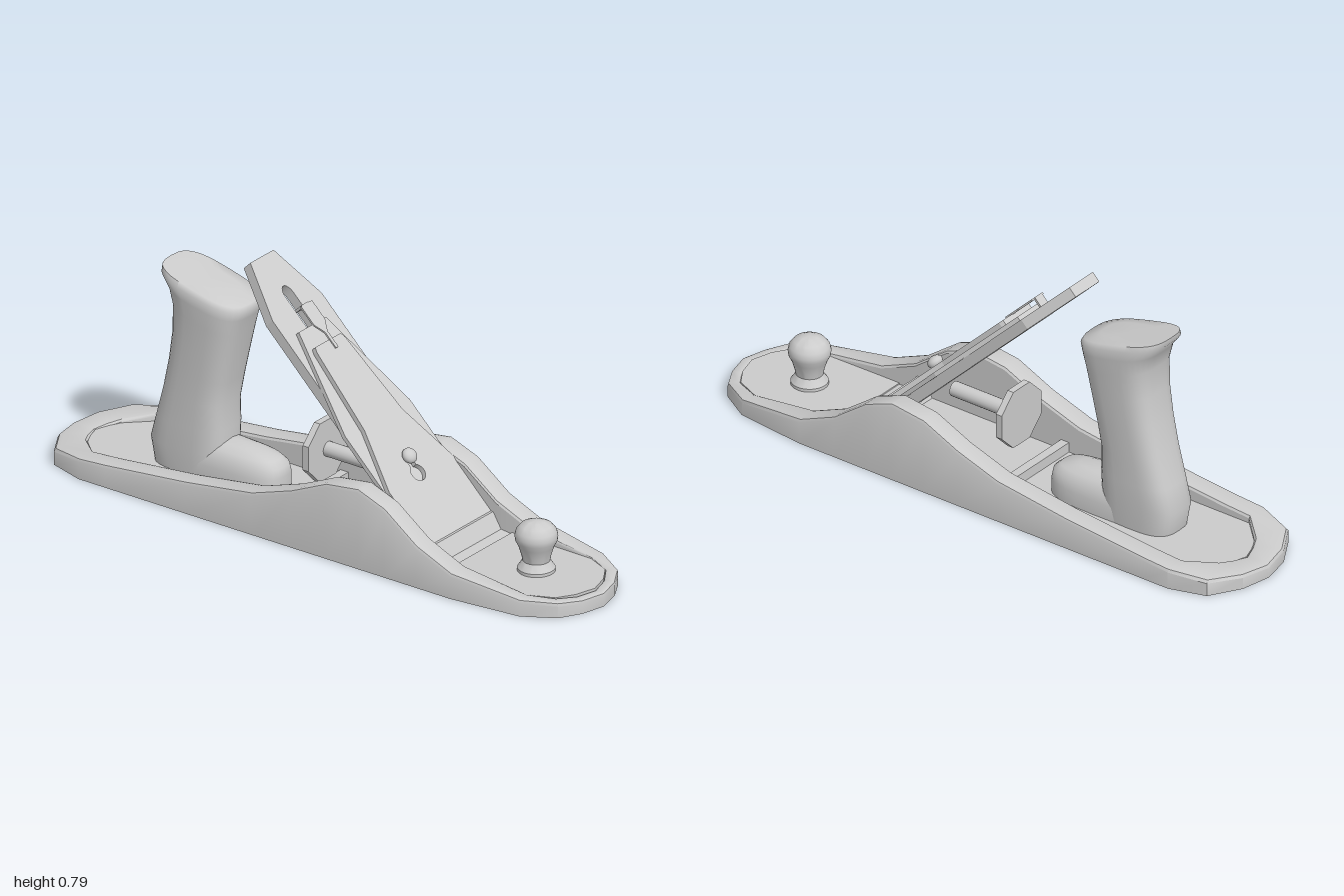
import * as THREE from 'three';
import { toCreasedNormals } from 'three/addons/utils/BufferGeometryUtils.js';

const material = new THREE.MeshStandardMaterial({ color: 0xcccccc, side: THREE.DoubleSide });

function addMesh(parent, name, geometry, x = 0, y = 0, z = 0) {
  const mesh = new THREE.Mesh(geometry, material);
  mesh.name = name;
  mesh.position.set(x, y, z);
  parent.add(mesh);
  return mesh;
}

// Skin a list of equal-length rings; either direction may wrap round.
function loft(rings, wrapRings, wrapSection, crease) {
  const n = rings.length, m = rings[0].length, index = [];
  for (let i = 0; i < (wrapRings ? n : n - 1); i++) {
    for (let j = 0; j < (wrapSection ? m : m - 1); j++) {
      const i2 = (i + 1) % n, j2 = (j + 1) % m;
      const a = i * m + j, b = i2 * m + j, c = i2 * m + j2, d = i * m + j2;
      index.push(a, b, c, a, c, d);
    }
  }
  const g = new THREE.BufferGeometry();
  g.setAttribute('position', new THREE.Float32BufferAttribute(rings.flat(2), 3));
  g.setIndex(index);
  g.computeVertexNormals();
  return toCreasedNormals(g, crease);
}

// Half of the body, front to back: outer x, z, inner x, z, wall height.
const stations = [
  [0, 1, 0, 0.965, 0.045], [0.08, 0.98, 0.07, 0.945, 0.045],
  [0.15, 0.94, 0.125, 0.91, 0.05], [0.21, 0.84, 0.16, 0.83, 0.055],
  ...[[0.6, 0.085], [0.47, 0.14], [0.35, 0.228], [0.25, 0.265], [0.13, 0.249], [0, 0.19],
    [-0.15, 0.14], [-0.4, 0.105], [-0.7, 0.075], [-0.8, 0.068]].map(([z, h]) => [0.237, z, 0.163, z, h]),
  [0.2, -0.92, 0.085, -0.88, 0.055], [0.1, -0.98, 0.045, -0.9, 0.05], [0, -1, 0, -0.915, 0.045],
];
const loop = [...stations, ...stations.slice(1, -1).reverse().map(([a, b, c, d, h]) => [-a, b, -c, d, h])];

// Wall running round the sole, with bevelled top edges.
function wallGeometry() {
  const rings = loop.map(([ox, oz, ix, iz, h]) => {
    const at = (t, y) => [ox + (ix - ox) * t, y, oz + (iz - oz) * t];
    return [at(0, 0), at(0, h - 0.012), at(0.06, h - 0.003), at(0.2, h),
      at(0.8, h), at(0.94, h - 0.003), at(1, h - 0.01), at(1, 0.02)];
  });
  return loft(rings, true, false, 0.55);
}

// Flat floor piece from a plan outline of [x, z].
function floorGeometry(points, hole, y0, y1) {
  const shape = new THREE.Shape(points.map(([x, z]) => new THREE.Vector2(x, -z)));
  shape.holes.push(hole);
  const g = new THREE.ExtrudeGeometry(shape, { depth: y1 - y0, bevelEnabled: false, curveSegments: 20 });
  return g.rotateX(-Math.PI / 2).translate(0, y0, 0);
}

// Rounded-rectangle ring between a front and a back point.
function roundedRing([zF, yF, zB, yB, w]) {
  const ring = [];
  for (let k = 0; k < 32; k++) {
    const a = (k / 32) * Math.PI * 2;
    const bend = v => Math.sign(v) * Math.pow(Math.abs(v), 0.65);
    const u = bend(Math.sin(a));
    const t = (1 - u) / 2;
    ring.push([w * bend(Math.cos(a)), yF + (yB - yF) * t, zF + (zB - zF) * t]);
  }
  return ring;
}
const roundedLoft = rows => loft(rows.map(roundedRing), false, true, 1);

export function createModel() {
  const model = new THREE.Group();
  model.name = 'handPlane';

  // Body
  addMesh(model, 'bodyWall', wallGeometry());
  const inner = loop.map(s => [s[2], s[3]]);
  const knobHole = new THREE.Path().absarc(0, -0.745, 0.055, 0, Math.PI * 2, true);
  const front = inner.filter(p => p[1] > 0.55);
  const split = front.findIndex(p => p[0] < 0);
  front.splice(split, 0, [0.163, 0.53], [-0.163, 0.53]);
  addMesh(model, 'frontFloor', floorGeometry(front, knobHole, 0.02, 0.05));
  const gripHole = new THREE.Path();
  gripHole.absarc(0, 0.285, 0.07, Math.PI, Math.PI * 2, false);
  gripHole.absarc(0, 0.585, 0.07, 0, Math.PI, false);
  const rear = inner.filter(p => p[1] < 0.4);
  rear.unshift([0.163, 0.46]);
  rear.push([-0.163, 0.46]);
  addMesh(model, 'rearFloor', floorGeometry(rear, gripHole, 0.02, 0.042));
  addMesh(model, 'crossRib', new THREE.BoxGeometry(0.326, 0.06, 0.03), 0, 0.045, -0.1);

  // Ramp closing the mouth in front of the blade: profile as [z, y]
  const ramp = new THREE.Shape([[0.4, 0.03], [0.535, 0.03], [0.535, 0.045], [0.49, 0.05], [0.46, 0.1], [0.43, 0.1]]
    .map(([z, y]) => new THREE.Vector2(-z, y)));
  addMesh(model, 'mouthRamp', new THREE.ExtrudeGeometry(ramp, { depth: 0.324, bevelEnabled: false })
    .translate(0, 0, -0.162).rotateY(Math.PI / 2));

  // Front knob
  const knob = [[0, 0.046], [0.058, 0.046], [0.058, 0.06], [0.053, 0.066], [0.042, 0.084], [0.045, 0.1], [0.054, 0.13],
    [0.064, 0.15], [0.066, 0.165], [0.062, 0.182], [0.048, 0.199], [0.025, 0.21], [0, 0.213]];
  addMesh(model, 'frontKnob', toCreasedNormals(
    new THREE.LatheGeometry(knob.map(p => new THREE.Vector2(...p)), 32), 0.6), 0, 0, 0.745);

  // Rear handle: front z, y, back z, y, half width, from the bottom up
  addMesh(model, 'handleGrip', roundedLoft([
    [-0.53, 0.041, -0.53, 0.041, 0],
    [-0.4, 0.041, -0.66, 0.041, 0.085], [-0.4, 0.12, -0.674, 0.12, 0.09],
    [-0.397, 0.2, -0.652, 0.2, 0.09], [-0.4, 0.28, -0.624, 0.3, 0.09],
    [-0.385, 0.36, -0.602, 0.4, 0.092], [-0.37, 0.43, -0.587, 0.5, 0.095],
    [-0.347, 0.53, -0.585, 0.59, 0.099], [-0.332, 0.585, -0.6, 0.645, 0.103],
    [-0.323, 0.613, -0.63, 0.685, 0.103], [-0.33, 0.628, -0.63, 0.703, 0.094],
    [-0.38, 0.648, -0.57, 0.69, 0.055], [-0.48, 0.668, -0.48, 0.668, 0],
  ]));
  addMesh(model, 'handleFoot', roundedLoft([
    [-0.4, 0.041, -0.4, 0.041, 0],
    [-0.2, 0.041, -0.6, 0.041, 0.085], [-0.2, 0.09, -0.6, 0.09, 0.085],
    [-0.204, 0.12, -0.59, 0.125, 0.075], [-0.225, 0.138, -0.58, 0.15, 0.06],
    [-0.29, 0.155, -0.56, 0.165, 0.035], [-0.4, 0.165, -0.4, 0.165, 0],
  ]));

  // Blade assembly, lying on a slope
  const slope = 44.4 * Math.PI / 180, sin = Math.sin(slope), cos = Math.cos(slope);
  const blade = new THREE.Group();
  blade.name = 'bladeAssembly';
  blade.position.set(0.006, 0.04, 0.47);
  blade.rotation.x = slope - Math.PI / 2;
  model.add(blade);

  // Outline is given as seen from the front: [x, height].
  const slab = (name, points, bottom, top, hole) => {
    const map = ([x, y]) => new THREE.Vector2(x, (y - 0.04 - top * cos) / sin);
    const shape = new THREE.Shape(points.map(map));
    if (hole) shape.holes.push(new THREE.Path(hole.map(map)));
    const g = new THREE.ExtrudeGeometry(shape, { depth: top - bottom, bevelEnabled: false });
    return addMesh(blade, name, g, 0, 0, bottom);
  };
  const mirror = half => [...half, ...half.slice().reverse().map(([x, y]) => [-x, y])];

  const slot = [];
  for (let k = 0; k <= 16; k++) {
    const a = (k / 16) * Math.PI;
    slot.push([0.003 + 0.02 * Math.cos(a), 0.69 + 0.023 * Math.sin(a)]);
  }
  slot.push([-0.017, 0.6], [0.023, 0.6]);
  const iron = slab('cuttingIron', mirror([[0.123, 0.04], [0.123, 0.66], [0.058, 0.79]]), -0.035, 0, slot);
  iron.position.x = 0.005;
  slab('capIron', mirror([[0.162, 0.06], [0.162, 0.38], [0.068, 0.62]]), 0, 0.014);

  const keyhole = [];
  for (let k = 0; k <= 20; k++) {
    const a = Math.PI * (0.65 + 1.7 * k / 20);
    keyhole.push([-0.008 + 0.028 * Math.cos(a), 0.247 + 0.019 * Math.sin(a)]);
  }
  keyhole.push([0.005, 0.278], [-0.021, 0.278]);
  slab('leverCap', mirror([[0.161, 0.095], [0.161, 0.24], [0.095, 0.38], [0.07, 0.575], [0.063, 0.585]]),
    0.014, 0.03, keyhole);

  // Lever with its end folded down into the slot
  slab('adjustingLever', [[0.006, 0.565], [0.018, 0.565], [0.018, 0.605], [0.039, 0.63], [0.039, 0.678],
    [-0.016, 0.678], [-0.016, 0.63], [0.006, 0.605]], 0.028, 0.034);
  addMesh(blade, 'leverHook', new THREE.BoxGeometry(0.034, 0.008, 0.04), 0.008, 0.876, 0.012);

  // Cap screw
  const stem = addMesh(blade, 'screwStem', new THREE.CylinderGeometry(0.012, 0.012, 0.04, 16), -0.008, 0.321, 0.025);
  stem.rotation.x = Math.PI / 2;
  const head = addMesh(blade, 'screwHead', new THREE.SphereGeometry(0.025, 24, 16), -0.008, 0.321, 0.041);
  head.scale.z = 0.75;

  // Depth adjuster behind the blade
  const rod = addMesh(model, 'adjusterRod', new THREE.CylinderGeometry(0.024, 0.024, 0.24, 20), 0, 0.228, 0.075);
  rod.rotation.x = Math.PI / 2;
  const wheel = addMesh(model, 'adjusterWheel', toCreasedNormals(
    new THREE.CylinderGeometry(0.105, 0.105, 0.022, 8).rotateY(Math.PI / 8), 0.3), 0, 0.228, -0.05);
  wheel.rotation.x = Math.PI / 2;

  return model;
}
